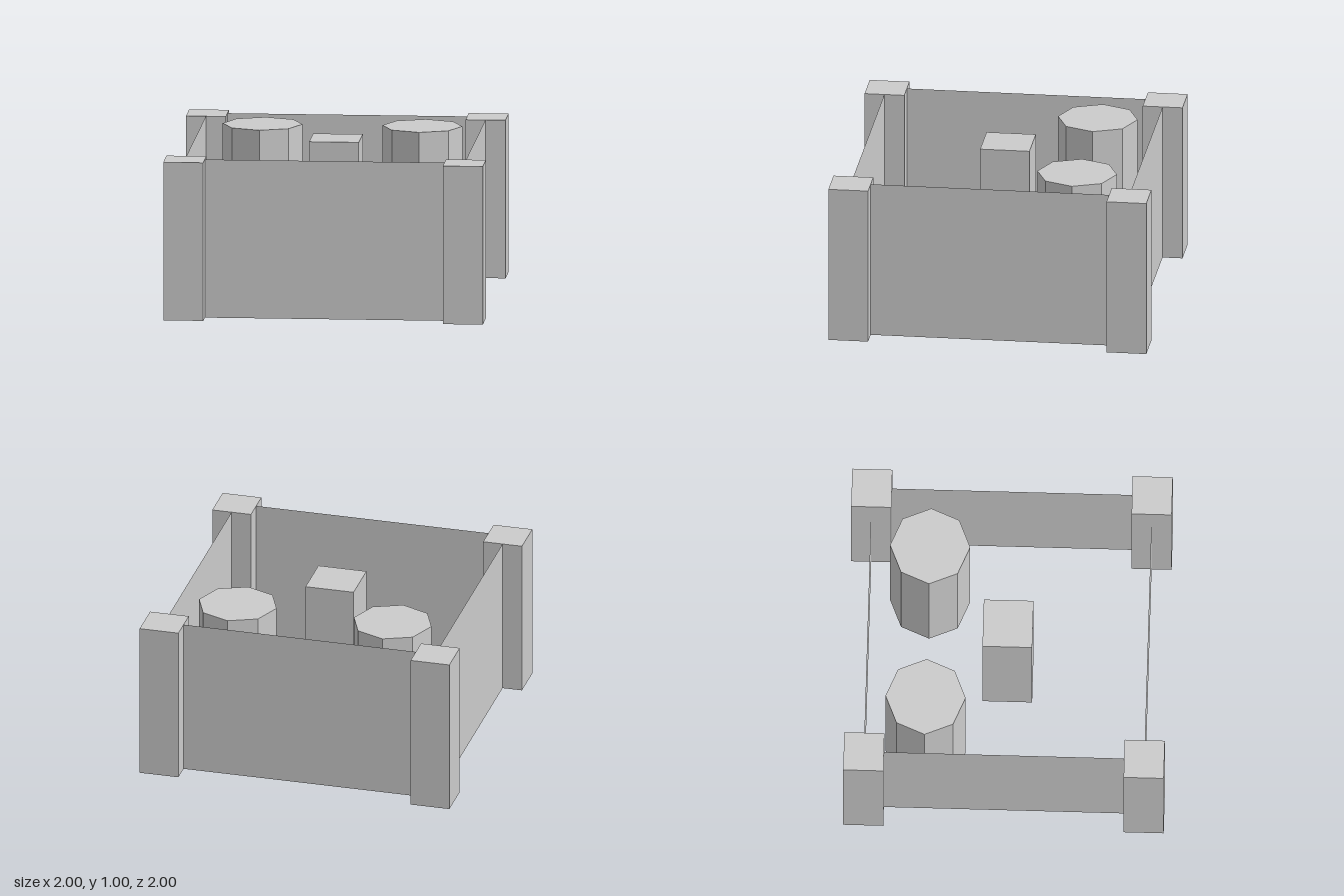
import * as THREE from 'three';
import { mergeGeometries } from 'three/addons/utils/BufferGeometryUtils.js';

const HEIGHT = 1;
const POST = 0.25; // post width
const POST_POS = 1 - POST / 2; // post centre, also the wall plane

const material = new THREE.MeshStandardMaterial({
  color: 0xcccccc, flatShading: true, side: THREE.DoubleSide,
});

// Prism with a closed top and an open bottom
function openPrism(radius, sides, start = 0) {
  const shell = new THREE.CylinderGeometry(radius, radius, HEIGHT, sides, 1, true, start);
  const cap = new THREE.CircleGeometry(radius, sides, start);
  cap.rotateX(-Math.PI / 2).translate(0, HEIGHT / 2, 0);
  return mergeGeometries([shell, cap]).translate(0, HEIGHT / 2, 0);
}

const squarePrism = (width) => openPrism(width * Math.SQRT1_2, 4, Math.PI / 4);

export function createModel() {
  const model = new THREE.Group();
  model.name = 'walledCourt';

  const add = (name, geometry, x, z, turn = 0) => {
    const mesh = new THREE.Mesh(geometry, material);
    mesh.name = name;
    mesh.position.set(x, 0, z);
    mesh.rotation.y = turn;
    model.add(mesh);
  };

  // Corner posts
  const post = squarePrism(POST);
  for (const [zName, z] of [['front', 1], ['back', -1]])
    for (const [xName, x] of [['Left', 1], ['Right', -1]])
      add(`${zName}${xName}Post`, post, x * POST_POS, z * POST_POS);

  // Thin walls running between the posts' inner faces
  const wall = new THREE.PlaneGeometry(2 - 2 * POST, HEIGHT).translate(0, HEIGHT / 2, 0);
  ['frontWall', 'leftWall', 'backWall', 'rightWall'].forEach((name, i) => {
    const turn = i * Math.PI / 2;
    add(name, wall, Math.sin(turn) * POST_POS, Math.cos(turn) * POST_POS, turn);
  });

  // Two octagonal columns towards the back
  const column = openPrism(0.25, 8);
  add('leftColumn', column, 0.5, -0.5);
  add('rightColumn', column, -0.5, -0.5);

  // Square pillar in the middle
  add('centrePillar', squarePrism(0.31), 0, 0);

  return model;
}
